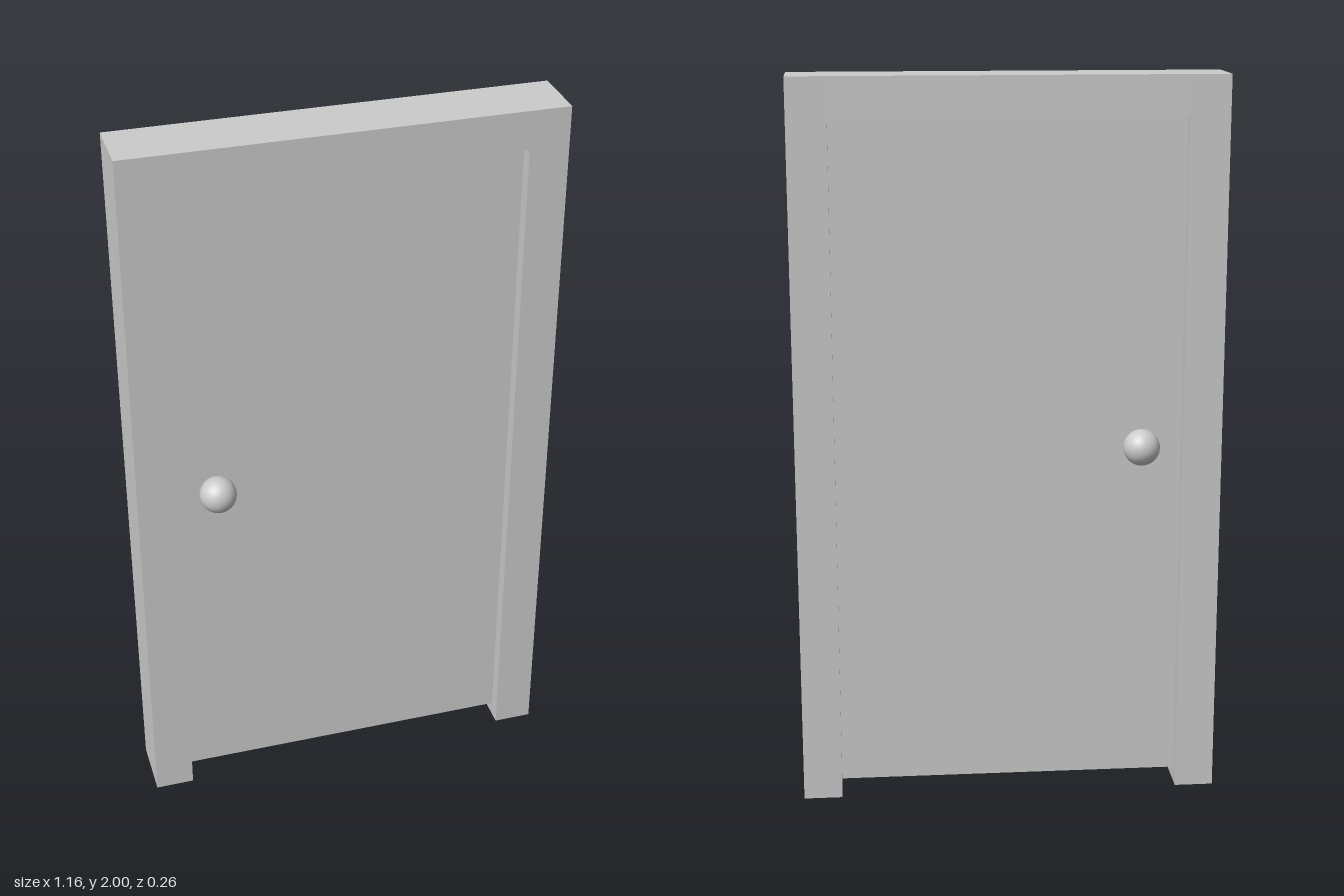
import * as THREE from 'three';

const HALF_W = 0.58, OPENING = 0.473, HEIGHT = 2, LINTEL_Y = 1.893;
const FRAME_DEPTH = 0.17, DOOR_DEPTH = 0.095, DOOR_BOTTOM = 0.04;

export function createModel() {
  const model = new THREE.Group();
  model.name = 'door';
  const material = new THREE.MeshStandardMaterial({ color: 0xcccccc });

  const add = (name, geometry, x, y, z) => {
    const mesh = new THREE.Mesh(geometry, material);
    mesh.name = name;
    mesh.position.set(x, y, z);
    model.add(mesh);
  };

  // Lintel between the two jambs
  add('lintel', new THREE.BoxGeometry(OPENING * 2, HEIGHT - LINTEL_Y, FRAME_DEPTH),
    0, (HEIGHT + LINTEL_Y) / 2, 0);

  // Door panel, recessed on both faces and raised off the floor
  add('doorPanel', new THREE.BoxGeometry(OPENING * 2, LINTEL_Y - DOOR_BOTTOM, DOOR_DEPTH),
    0, (LINTEL_Y + DOOR_BOTTOM) / 2, 0);

  // Jambs left and right, knobs front and back
  const jamb = new THREE.BoxGeometry(HALF_W - OPENING, HEIGHT, FRAME_DEPTH);
  const knob = new THREE.SphereGeometry(0.05, 32, 20);
  for (const s of [1, -1]) {
    add(s > 0 ? 'leftJamb' : 'rightJamb', jamb, s * (HALF_W + OPENING) / 2, HEIGHT / 2, 0);
    add(s > 0 ? 'frontKnob' : 'backKnob', knob, -0.36, 1, s * 0.08);
  }
  return model;
}
